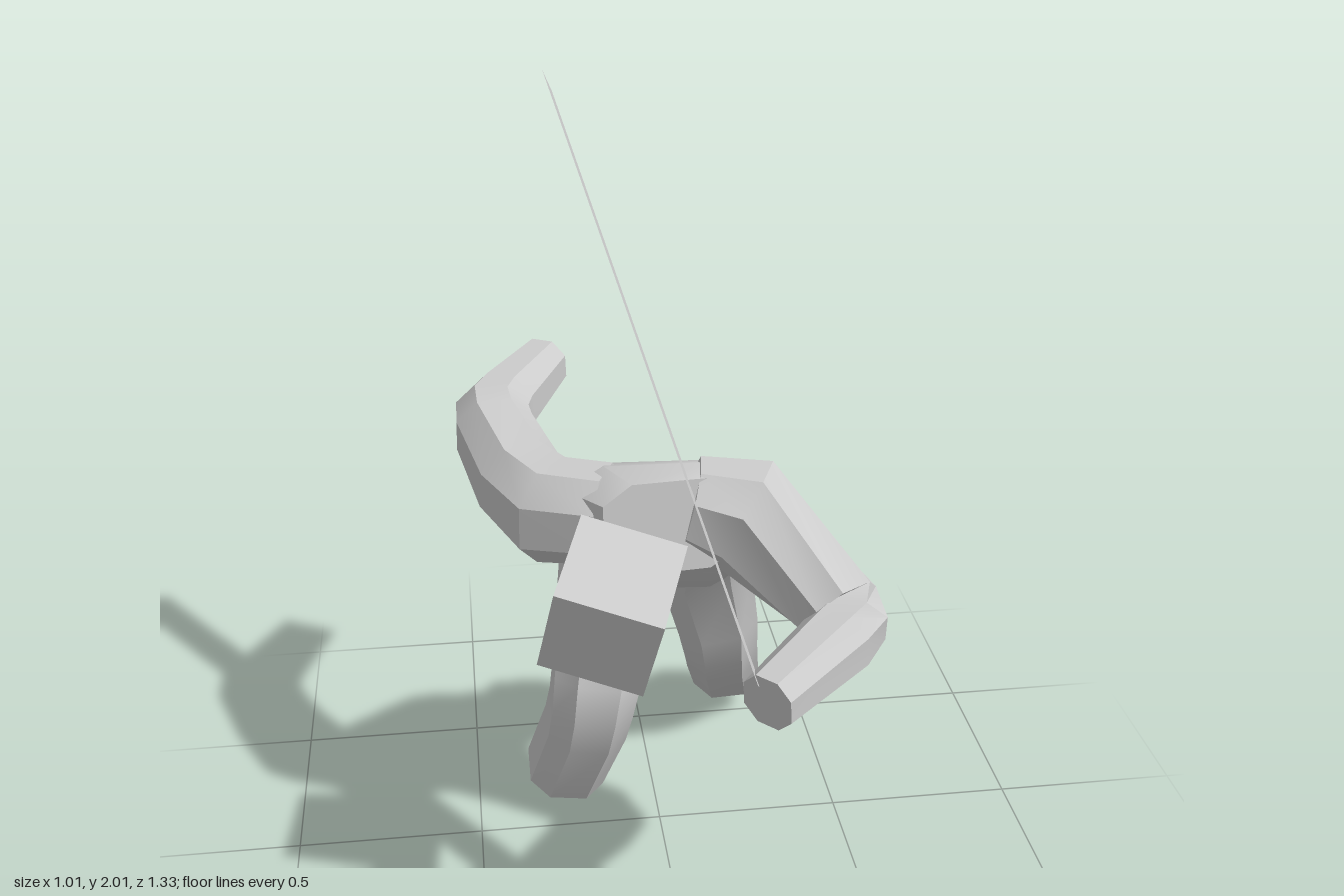
import * as THREE from 'three';
import { toCreasedNormals } from 'three/addons/utils/BufferGeometryUtils.js';

const material = new THREE.MeshStandardMaterial({ color: 0xcccccc });

// Eight-sided closed skin over rings [x, y, z, halfWidth, halfDepth];
// ref points along the width of each ring, flat is the share of each side left unchamfered.
function skin(name, rings, ref, flat) {
  const outline = [[1, -flat], [1, flat], [flat, 1], [-flat, 1], [-1, flat], [-1, -flat], [-flat, -1], [flat, -1]];
  const sides = outline.length, last = rings.length - 1;
  const centres = rings.map(r => new THREE.Vector3(r[0], r[1], r[2]));
  const across = new THREE.Vector3(...ref);
  const pos = [], idx = [];
  rings.forEach(([, , , w, d], i) => {
    const before = centres[i].clone().sub(centres[Math.max(i - 1, 0)]).normalize();
    const after = centres[Math.min(i + 1, last)].clone().sub(centres[i]).normalize();
    const t = before.add(after).normalize();
    const u = across.clone().addScaledVector(t, -t.dot(across)).normalize();
    const v = t.clone().cross(u);
    for (const [a, b] of outline) {
      const p = centres[i].clone().addScaledVector(u, a * w).addScaledVector(v, b * d);
      pos.push(p.x, p.y, p.z);
    }
  });
  const start = pos.length / 3, end = start + 1;
  pos.push(...centres[0].toArray(), ...centres[last].toArray());
  for (let k = 0; k < sides; k++) {
    const n = (k + 1) % sides;
    for (let i = 0; i < last; i++) {
      const a = i * sides, b = a + sides;
      idx.push(a + k, a + n, b + n, a + k, b + n, b + k);
    }
    idx.push(start, n, k, end, last * sides + k, last * sides + n);
  }
  const geo = new THREE.BufferGeometry();
  geo.setAttribute('position', new THREE.Float32BufferAttribute(pos, 3));
  geo.setIndex(idx);
  const mesh = new THREE.Mesh(toCreasedNormals(geo, 0.6), material);
  mesh.name = name;
  return mesh;
}

export function createModel() {
  const group = new THREE.Group();
  group.name = 'crouchingFigure';

  // Torso, bent forward from the hips to the shoulders
  group.add(skin('torso', [
    [0.025, 0.71, -0.25, 0.2, 0.105],
    [0.025, 0.76, -0.2, 0.23, 0.122],
    [0.01, 0.875, -0.07, 0.24, 0.12],
    [-0.005, 0.995, 0.05, 0.245, 0.125],
    [-0.015, 1.03, 0.14, 0.24, 0.127],
    [0, 1.045, 0.235, 0.17, 0.115],
  ], [1, 0, 0.07], 0.58));

  // Left leg, stretched back
  group.add(skin('leftLeg', [
    [0.14, 0.84, -0.12, 0.1, 0.09],
    [0.155, 0.69, -0.275, 0.13, 0.13],
    [0.205, 0.45, -0.335, 0.115, 0.12],
    [0.22, 0.36, -0.36, 0.107, 0.11],
    [0.235, 0.29, -0.41, 0.105, 0.107],
    [0.278, 0.115, -0.575, 0.102, 0.105],
  ], [1, 0, 0], 0.5));

  // Right leg, bent under the body
  group.add(skin('rightLeg', [
    [-0.1, 0.83, -0.14, 0.1, 0.1],
    [-0.118, 0.68, -0.21, 0.128, 0.13],
    [-0.165, 0.42, -0.09, 0.118, 0.12],
    [-0.18, 0.34, -0.085, 0.112, 0.11],
    [-0.195, 0.26, -0.105, 0.11, 0.107],
    [-0.25, 0.045, -0.2, 0.107, 0.105],
  ], [1, 0, 0], 0.5));

  // Left arm, folded across the front
  group.add(skin('leftArm', [
    [0.06, 1.06, 0.14, 0.105, 0.11],
    [0.19, 1.03, 0.16, 0.135, 0.135],
    [0.4, 0.84, 0.325, 0.1, 0.1],
    [0.41, 0.815, 0.37, 0.095, 0.097],
    [0.375, 0.805, 0.42, 0.087, 0.085],
    [0.17, 0.778, 0.615, 0.067, 0.067],
  ], [0, 1, 0], 0.45));

  // Right arm, swept back
  group.add(skin('rightArm', [
    [-0.14, 1.03, 0.12, 0.115, 0.12],
    [-0.28, 1.02, 0.06, 0.125, 0.125],
    [-0.35, 1.04, -0.07, 0.112, 0.11],
    [-0.405, 1.095, -0.26, 0.1, 0.1],
    [-0.405, 1.105, -0.33, 0.095, 0.097],
    [-0.375, 1.11, -0.4, 0.09, 0.088],
    [-0.25, 1.13, -0.635, 0.07, 0.068],
  ], [0, 1, 0], 0.45));

  // Cube head, tilted down
  const head = new THREE.Mesh(new THREE.BoxGeometry(0.26, 0.26, 0.26), material);
  head.name = 'head';
  const x = new THREE.Vector3(0.24, -0.065, 0.065).normalize();
  const z = new THREE.Vector3(-0.08, -0.08, 0.235);
  z.addScaledVector(x, -z.dot(x)).normalize();
  head.quaternion.setFromRotationMatrix(new THREE.Matrix4().makeBasis(x, z.clone().cross(x), z));
  head.position.set(-0.163, 0.935, 0.4);
  group.add(head);

  // Flat blade running from the left hand over the back
  const bladeGeo = new THREE.BufferGeometry();
  bladeGeo.setAttribute('position', new THREE.Float32BufferAttribute([
    0.14, 0.85, 0.65, 0.17, 0.77, 0.54, -0.21, 1.92, -0.53, -0.24, 2.0, -0.42,
  ], 3));
  bladeGeo.setIndex([0, 1, 2, 0, 2, 3]);
  bladeGeo.computeVertexNormals();
  const blade = new THREE.Mesh(bladeGeo, new THREE.MeshStandardMaterial({ color: 0xcccccc, side: THREE.DoubleSide }));
  blade.name = 'blade';
  group.add(blade);

  return group;
}
